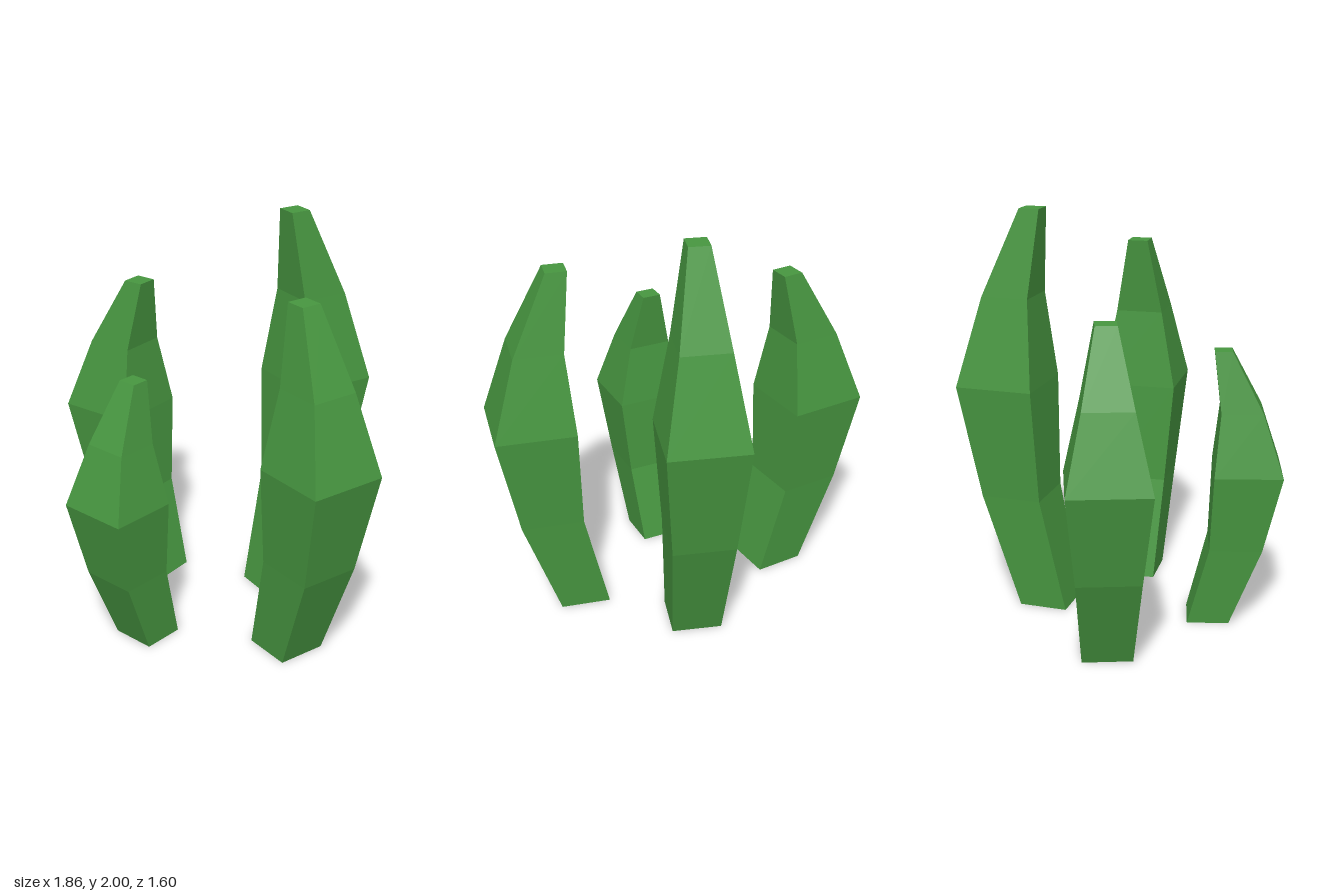
import * as THREE from 'three';

// Leaf cross-sections: [inner edge, outer edge, width, relative height]
const SECTIONS = [
  [0, 0.24, 0.24, 0],
  [0.12, 0.42, 0.3, 0.287],
  [0.14, 0.525, 0.385, 0.569],
  [0.175, 0.41, 0.235, 0.789],
  [0.135, 0.235, 0.1, 1],
];

// One four-sided leaf of unit height, bulging towards +x
function leafGeometry() {
  const positions = [];
  const index = [];
  for (const [inner, outer, width, y] of SECTIONS) {
    const w = width / 2;
    positions.push(inner, y, -w, outer, y, -w, outer, y, w, inner, y, w);
  }
  for (let ring = 0; ring < SECTIONS.length - 1; ring++) {
    for (let side = 0; side < 4; side++) {
      const a = ring * 4 + side;
      const b = ring * 4 + (side + 1) % 4;
      index.push(a, a + 4, b, b, a + 4, b + 4);
    }
  }
  // Bottom and tip caps
  const t = (SECTIONS.length - 1) * 4;
  index.push(0, 1, 2, 0, 2, 3, t, t + 2, t + 1, t, t + 3, t + 2);

  const geometry = new THREE.BufferGeometry();
  geometry.setAttribute('position', new THREE.Float32BufferAttribute(positions, 3));
  geometry.setIndex(index);
  const faceted = geometry.toNonIndexed();
  faceted.computeVertexNormals();
  return faceted;
}

export function createModel() {
  const model = new THREE.Group();
  model.name = 'leafCluster';
  const geometry = leafGeometry();
  const material = new THREE.MeshStandardMaterial({ color: 0x479640, flatShading: true });

  // Four leaves around the centre, each bulging outwards
  const leaves = [
    { name: 'leftLeaf', x: 0.4, z: -0.053, angle: 0, scale: [1, 1.775, 1] },
    { name: 'backLeaf', x: 0.017, z: -0.265, angle: 1.495, scale: [1, 2, 1] },
    { name: 'rightLeaf', x: -0.372, z: 0, angle: 3.434, scale: [1, 1.595, 1] },
    { name: 'frontLeaf', x: 0.003, z: 0.325, angle: -1.366, scale: [0.85, 1.36, 0.9] },
  ];
  for (const { name, x, z, angle, scale } of leaves) {
    const leaf = new THREE.Mesh(geometry, material);
    leaf.name = name;
    leaf.position.set(x, 0, z);
    leaf.rotation.y = angle;
    leaf.scale.set(...scale);
    model.add(leaf);
  }
  return model;
}
